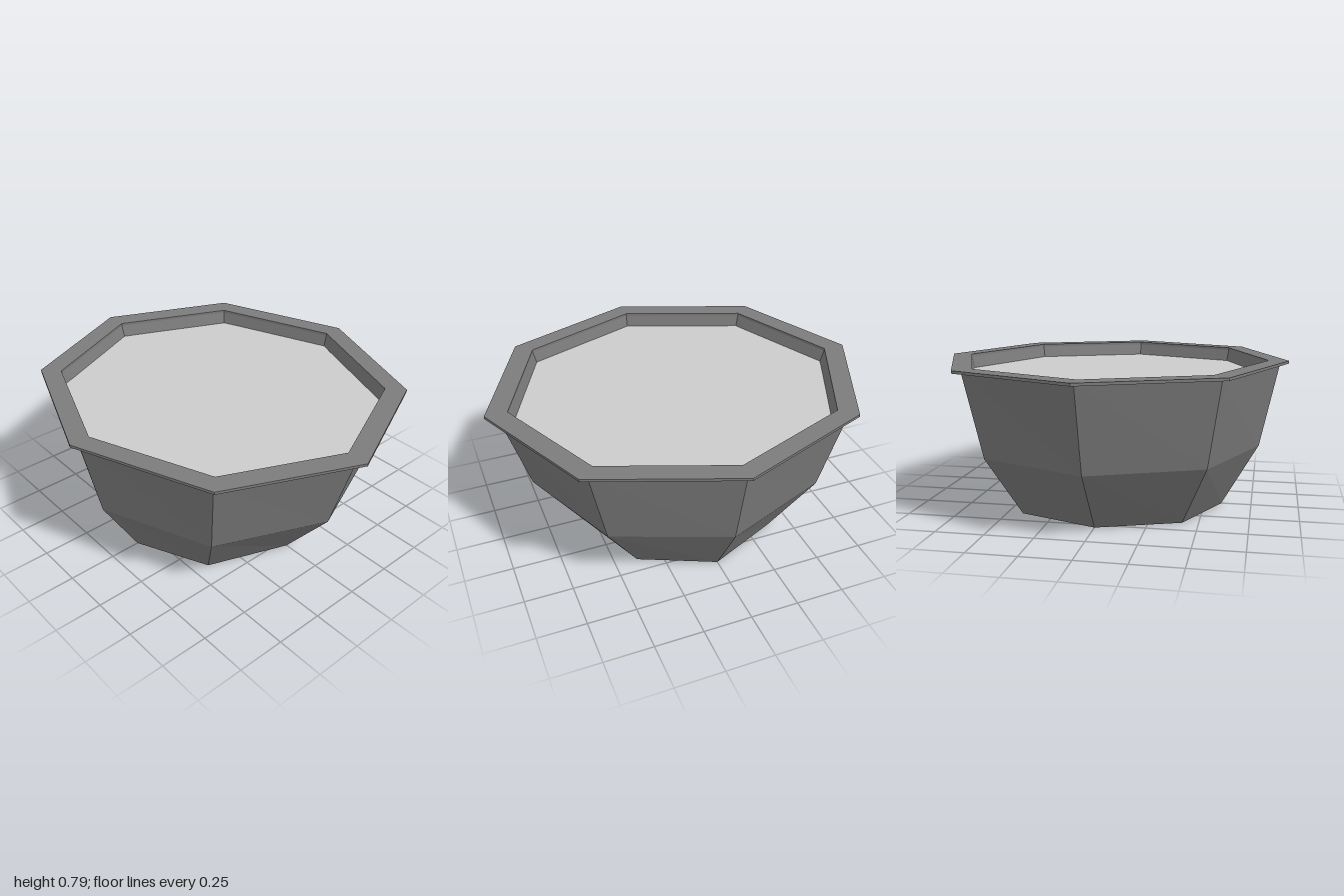
import * as THREE from 'three';

const SIDES = 8;

// Eight-sided lathe whose rows [rx, rz, y] may each be oval
function ovalLathe(rows) {
  const geometry = new THREE.LatheGeometry(rows.map(([rx, , y]) => new THREE.Vector2(rx, y)), SIDES);
  const pos = geometry.attributes.position;
  for (let i = 0; i < pos.count; i++) {
    const [rx, rz] = rows[i % rows.length];
    if (rx > 0) pos.setZ(i, pos.getZ(i) * rz / rx);
  }
  geometry.computeVertexNormals();
  return geometry;
}

function part(name, geometry, color) {
  const material = new THREE.MeshStandardMaterial({ color, flatShading: true });
  const mesh = new THREE.Mesh(geometry, material);
  mesh.name = name;
  return mesh;
}

export function createModel() {
  const model = new THREE.Group();
  model.name = 'bowl';

  // Outer wall, flat rim and inner wall as one closed shell
  model.add(part('bowlShell', ovalLathe([
    [0, 0, 0],
    [0.54, 0.59, 0],
    [0.805, 0.78, 0.33],
    [0.94, 0.875, 0.772],
    [1, 0.92, 0.772],
    [1, 0.92, 0.786],
    [0.885, 0.815, 0.786],
    [0.885, 0.815, 0.772],
    [0.75, 0.725, 0.35],
    [0.5, 0.55, 0.05],
    [0, 0, 0.05],
  ]), 0x7c7c7c));

  // Level filling just below the rim
  const filling = new THREE.CircleGeometry(1, SIDES).rotateX(-Math.PI / 2).scale(0.866, 0.803, 1 * 0.803 / 0.803);
  filling.scale(1, 1, 0.803).translate(0, 0.71, 0);
  model.add(part('filling', filling, 0xcccccc));

  return model;
}
